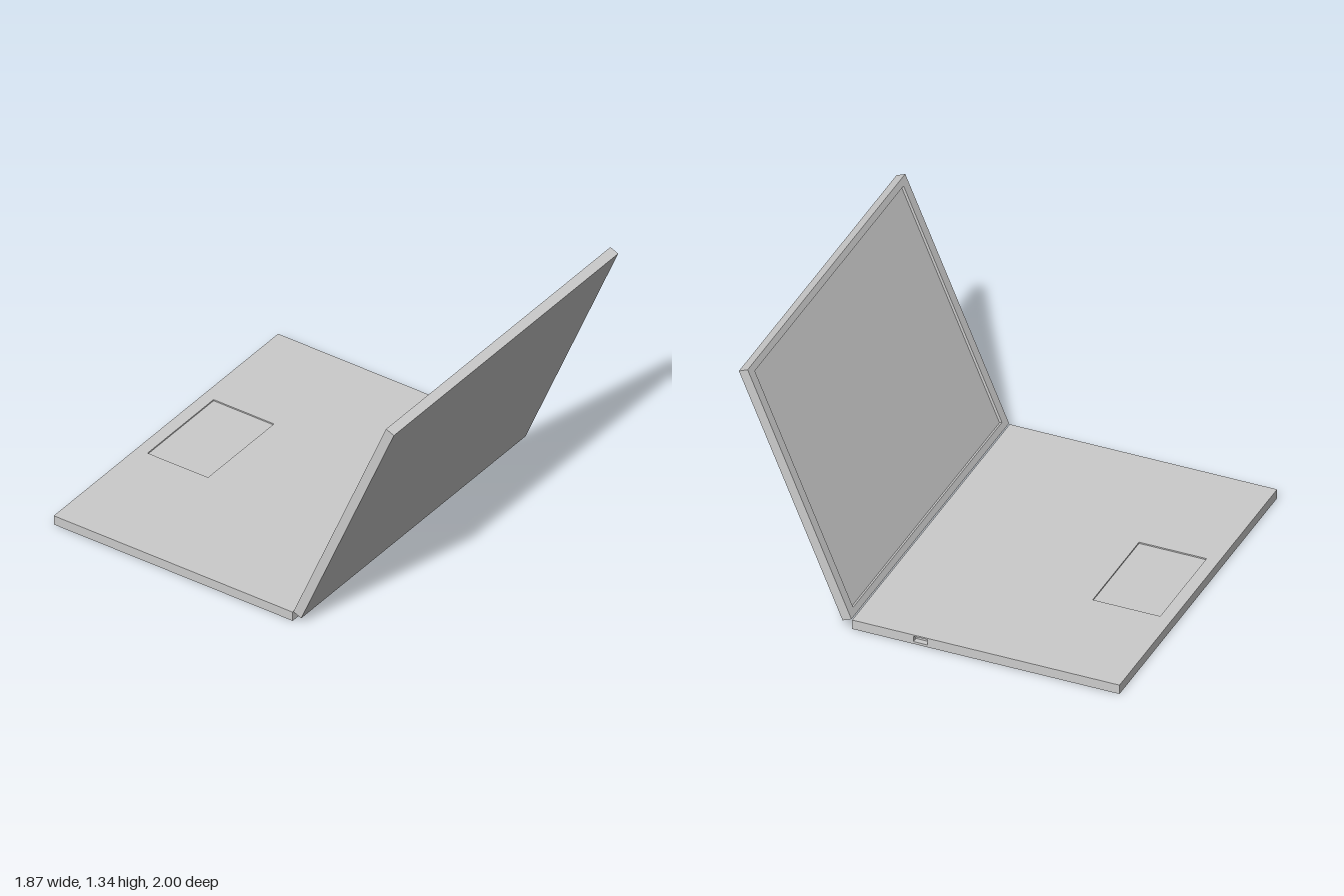
import * as THREE from 'three';

const material = new THREE.MeshStandardMaterial({ color: 0xcccccc });

// Flat w x h panel facing +z, with an optional rectangular hole [x0, x1, y0, y1]
function panel(w, h, hole) {
  const rect = (T, x0, x1, y0, y1) => new T([
    new THREE.Vector2(x0, y0), new THREE.Vector2(x1, y0),
    new THREE.Vector2(x1, y1), new THREE.Vector2(x0, y1)]);
  const shape = rect(THREE.Shape, -w / 2, w / 2, -h / 2, h / 2);
  if (hole) shape.holes.push(rect(THREE.Path, ...hole));
  return new THREE.ShapeGeometry(shape);
}

// Inward-facing open box behind a hole: floor and four walls
function pocket([x0, x1, y0, y1], depth) {
  const geo = new THREE.BoxGeometry(x1 - x0, y1 - y0, depth);
  const index = Array.from(geo.index.array);
  index.splice(24, 6); // leave the +z mouth open
  geo.setIndex(index);
  geo.scale(-1, 1, 1); // turns the faces inward
  geo.translate((x0 + x1) / 2, (y0 + y1) / 2, -depth / 2);
  geo.computeVertexNormals();
  return geo;
}

// Six-sided slab; recesses maps a side to { name, hole, depth }
function slab(name, w, h, d, recesses) {
  const group = new THREE.Group();
  group.name = name;
  const q = Math.PI / 2;
  const sides = {
    front: [w, h, d, 0, 0], back: [w, h, d, 0, 2 * q],
    left: [d, h, w, 0, q], right: [d, h, w, 0, -q],
    top: [w, d, h, -q, 0], bottom: [w, d, h, q, 0],
  };
  for (const [side, [pw, ph, span, rx, ry]] of Object.entries(sides)) {
    const recess = recesses[side];
    const add = (geo, partName) => {
      geo.translate(0, 0, span / 2).rotateX(rx).rotateY(ry);
      const mesh = new THREE.Mesh(geo, material);
      mesh.name = partName;
      group.add(mesh);
    };
    add(panel(pw, ph, recess?.hole), `${name} ${side}`);
    if (recess) add(pocket(recess.hole, recess.depth), recess.name);
  }
  return group;
}

export function createModel() {
  const model = new THREE.Group();
  model.name = 'laptop';
  const width = 1.87;

  // Base with a shallow trackpad and a side port
  const base = slab('base', width, 0.051, 1.405, {
    top: { name: 'trackpad', hole: [-0.245, 0.305, 0.2825, 0.6375], depth: 0.007 },
    left: { name: 'port', hole: [-0.3805, -0.3055, -0.0125, 0.0175], depth: 0.03 },
  });
  base.position.set(0, 0.0255, -0.2975);

  // Lid leaning back, with a sunken screen
  const lid = slab('lid', width, 1.4, 0.05, {
    front: { name: 'screen', hole: [-0.883, 0.883, -0.664, 0.663], depth: 0.014 },
  });
  lid.rotation.set(0.4, Math.PI, 0);
  lid.position.set(0, 0.69, 0.7045);

  model.add(base, lid);
  return model;
}
